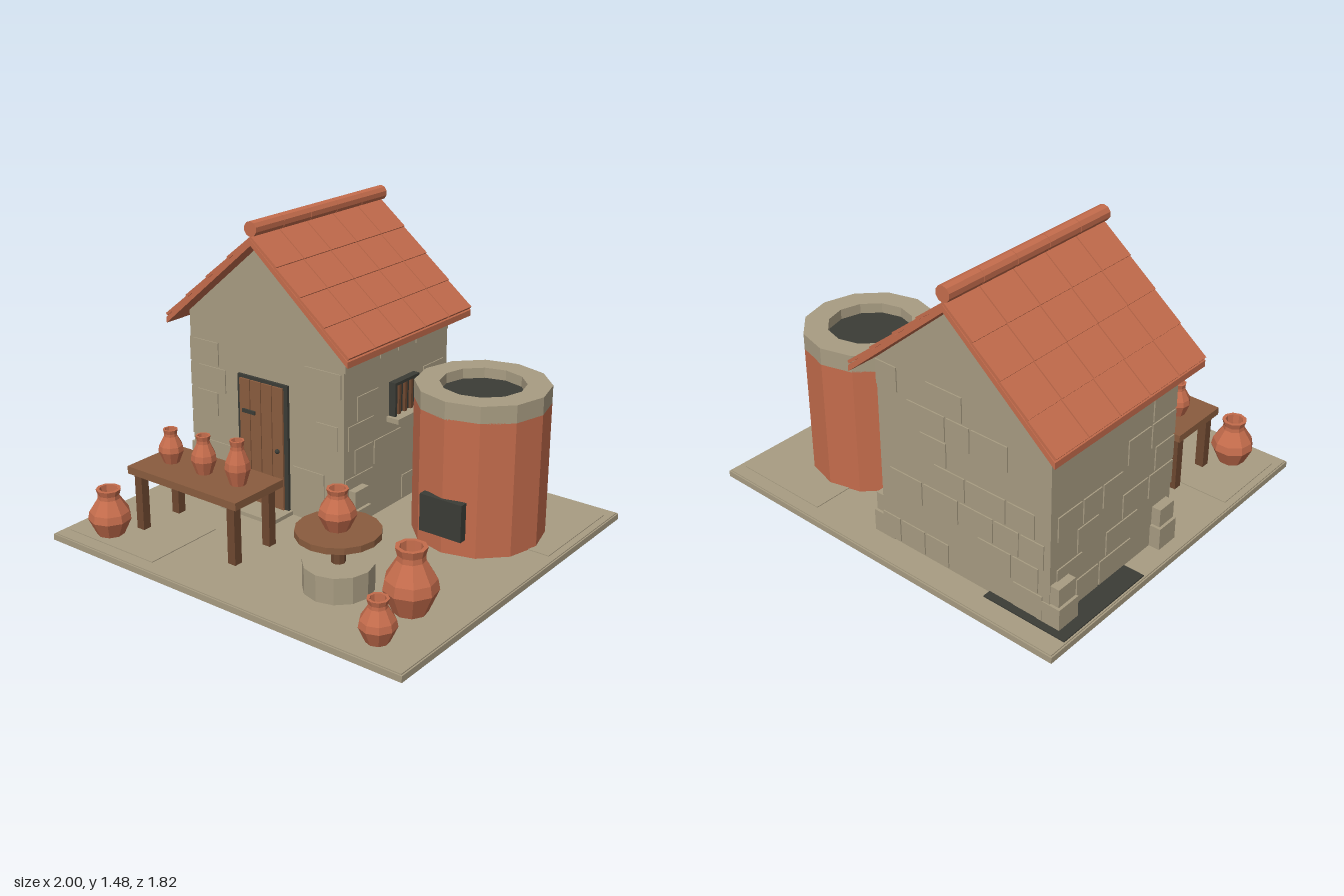
import * as THREE from 'three';

const mat = (name, color) => {
  const m = new THREE.MeshStandardMaterial({ color, flatShading: true });
  m.name = name;
  return m;
};

export function createModel() {
  const stone = mat('stone', 0xa89c82);
  const clay = mat('terracotta', 0xc46c4c);
  const wood = mat('wood', 0x8a5c3e);
  const darkWood = mat('darkWood', 0x6e4830);
  const iron = mat('iron', 0x3b3c36);
  const clayOpen = clay.clone();
  clayOpen.side = THREE.DoubleSide;

  const root = new THREE.Group();
  root.name = 'pottery';
  const group = (name, x = 0, y = 0, z = 0, parent = root) => {
    const g = new THREE.Group();
    g.name = name;
    g.position.set(x, y, z);
    parent.add(g);
    return g;
  };
  const add = (name, geo, m, parent = root, x = 0, y = 0, z = 0) => {
    const mesh = new THREE.Mesh(geo, m);
    mesh.name = name;
    mesh.position.set(x, y, z);
    parent.add(mesh);
    return mesh;
  };
  // Box given by its extents on each axis
  const box = (name, m, x0, x1, y0, y1, z0, z1, parent = root) =>
    add(name, new THREE.BoxGeometry(x1 - x0, y1 - y0, z1 - z0), m, parent,
      (x0 + x1) / 2, (y0 + y1) / 2, (z0 + z1) / 2);
  const cyl = (name, m, r, y0, y1, x, z, sides, parent = root) =>
    add(name, new THREE.CylinderGeometry(r, r, y1 - y0, sides), m, parent, x, (y0 + y1) / 2, z);
  const extrude = (pts, depth) => {
    const g = new THREE.ExtrudeGeometry(new THREE.Shape(pts.map(p => new THREE.Vector2(...p))),
      { depth, bevelEnabled: false });
    return g;
  };

  // Ground slab with a slightly inset lip and a few thin paving stones
  const ground = group('ground');
  box('groundSlab', stone, -1, 1, 0.005, 0.035, -0.91, 0.91, ground);
  box('groundFace', stone, -0.993, 0.993, 0, 0.04, -0.903, 0.903, ground);
  box('paving', stone, -0.96, -0.42, 0.04, 0.044, 0.42, 0.84, ground);
  box('paving', stone, 0.45, 0.96, 0.04, 0.044, -0.84, -0.3, ground);
  box('sootPatch', iron, -0.985, -0.55, 0.04, 0.046, -0.81, -0.26, ground);

  // House body with both gables
  const house = group('house');
  const X0 = -0.875, X1 = 0.075, Z0 = -0.77, Z1 = 0.07, CX = -0.4;
  add('walls', extrude([[X0, 0.04], [X1, 0.04], [X1, 0.955], [CX, 1.36], [X0, 0.955]], Z1 - Z0),
    stone, house, 0, 0, Z0);

  // Shallow raised stones scattered over the four walls
  let seed = 7;
  const rnd = () => (seed = (seed * 16807) % 2147483647) / 2147483647;
  const T = 0.006;
  for (let side = 0; side < 4; side++) {
    const alongX = side < 2;
    const [a, b] = alongX ? [X0, X1] : [Z0, Z1];
    for (let row = 0; row < 7; row++) {
      const y = 0.05 + row * 0.13;
      for (let p = a + 0.01 + rnd() * 0.08; p < b - 0.1;) {
        const w = Math.min(0.12 + rnd() * 0.1, b - p);
        const blocked = (side === 0 && p + w > -0.58 && p < -0.23 && y < 0.71)
          || (side === 2 && p + w > -0.5 && p < -0.26 && y > 0.4 && y < 0.72);
        if (rnd() < 0.5 && !blocked) {
          if (alongX) {
            const z = side === 0 ? Z1 : Z0 - T;
            box('wallStone', stone, p, p + w, y, y + 0.12, z, z + T, house);
          } else {
            const x = side === 2 ? X1 : X0 - T;
            box('wallStone', stone, x, x + T, y, y + 0.12, p, p + w, house);
          }
        }
        p += w + 0.012;
      }
    }
  }

  // Corner stones
  for (const s of [-1, 1]) {
    for (const [za, zb] of [[-0.775, -0.65], [-0.07, 0.05]]) {
      const lower = s * 0.53, upper = s * 0.52;
      const put = (name, edge, y0, y1, trim) => box(name, stone,
        CX + Math.min(edge, s * 0.41), CX + Math.max(edge, s * 0.41), y0, y1, za + trim, zb - trim, house);
      put('cornerStone', lower, 0.04, 0.15, 0);
      put('cornerStone', upper, 0.155, 0.245, 0.008);
    }
  }

  // Roof: two sloping decks, rows of tiles and a ridge roll
  const roof = group('roof', CX, 1.364, -0.3525);
  const run = 0.555, drop = 0.471, depth = 1.005;
  const angle = Math.atan2(drop, run), length = Math.hypot(run, drop);
  for (const turn of [0, Math.PI]) {
    const slope = group('roofSlope', 0, 0, 0, roof);
    slope.rotation.y = turn;
    add('roofDeck', extrude([[0, 0], [run, -drop], [run, -drop + 0.03], [0, 0.03]], depth),
      clay, slope, 0, 0, -depth / 2);
    const tiles = group('tiles', 0, 0.03, 0, slope);
    tiles.rotation.z = -angle;
    const step = (length - 0.012) / 4;
    for (let r = 0; r < 4; r++) {
      for (let c = 0; c < 5; c++) {
        const tile = add('roofTile', new THREE.BoxGeometry(step + 0.01, 0.014, depth / 5 - 0.006), clay,
          tiles, (r + 0.5) * step, 0.007, (c - 2) * depth / 5);
        tile.rotation.z = 0.035;
      }
    }
  }
  for (let c = 0; c < 5; c++) {
    const roll = add('ridgeTile', new THREE.CylinderGeometry(0.037, 0.037, depth / 5 - 0.003, 10), clay,
      roof, 0, 0.077, (c - 2) * depth / 5);
    roll.rotation.x = Math.PI / 2;
  }

  // Door with frame, planks, hinges, knob and doorstep
  const door = group('door');
  box('doorFrame', iron, -0.56, -0.25, 0.05, 0.7, 0.07, 0.085, door);
  for (let i = 0; i < 4; i++) {
    const x = -0.54 + i * 0.068;
    box('doorPlank', wood, x, x + 0.063, 0.06, 0.685, 0.08, 0.095, door);
  }
  for (const y of [0.2, 0.525]) box('hinge', iron, -0.52, -0.44, y - 0.009, y + 0.009, 0.09, 0.104, door);
  add('knob', new THREE.SphereGeometry(0.012, 8, 6), iron, door, -0.3, 0.365, 0.105);
  box('doorStep', stone, -0.57, -0.235, 0.04, 0.06, 0.05, 0.225, door);

  // Side window with bars, lintel and sill
  const win = group('window');
  box('windowPane', iron, 0.07, 0.09, 0.52, 0.69, -0.48, -0.28, win);
  for (const z of [-0.48, -0.296]) box('windowFrame', iron, 0.08, 0.112, 0.52, 0.69, z, z + 0.016, win);
  box('windowHead', iron, 0.08, 0.112, 0.675, 0.69, -0.48, -0.28, win);
  for (const z of [-0.43, -0.38, -0.33]) box('windowBar', darkWood, 0.09, 0.105, 0.52, 0.68, z - 0.008, z + 0.008, win);
  box('windowSill', stone, 0.07, 0.145, 0.495, 0.52, -0.5, -0.26, win);

  // Kiln: clay drum, stone rim with a recessed dark mouth, and a stoking door
  const kiln = group('kiln', 0.55, 0, -0.35);
  cyl('kilnBody', clay, 0.315, 0.04, 0.695, 0, 0, 12, kiln);
  const rimProfile = [[0.2, 0.69], [0.315, 0.69], [0.315, 0.775], [0.2, 0.775], [0.2, 0.69]];
  add('kilnRim', new THREE.LatheGeometry(rimProfile.map(p => new THREE.Vector2(...p)), 12), stone, kiln);
  cyl('kilnMouth', iron, 0.2, 0.69, 0.725, 0, 0, 12, kiln);
  box('kilnDoor', iron, -0.112, 0.112, 0.127, 0.31, 0.29, 0.33, kiln);

  // Display table
  const table = group('table');
  box('tableTop', wood, -0.745, -0.075, 0.325, 0.362, 0.33, 0.655, table);
  for (const x of [-0.7, -0.125]) for (const z of [0.378, 0.613])
    box('tableLeg', darkWood, x - 0.022, x + 0.022, 0.04, 0.325, z - 0.022, z + 0.022, table);

  // Potter's wheel
  const wheel = group('pottersWheel', 0.38, 0, 0.507);
  cyl('wheelBase', stone, 0.16, 0.04, 0.165, 0, 0, 12, wheel);
  cyl('wheelAxle', darkWood, 0.032, 0.165, 0.295, 0, 0, 8, wheel);
  cyl('wheelHead', wood, 0.19, 0.293, 0.323, 0, 0, 16, wheel);

  // Jars: radius and height scale one open profile
  const profile = [[0, 0], [0.62, 0], [1, 0.36], [0.93, 0.52], [0.52, 0.8], [0.5, 0.88],
    [0.58, 1], [0.42, 1], [0.38, 0.82], [0.36, 0.6], [0, 0.6]];
  const jars = [
    [-0.62, 0.362, 0.49, 0.06, 0.165], [-0.412, 0.362, 0.49, 0.06, 0.185], [-0.205, 0.362, 0.49, 0.06, 0.213],
    [0.375, 0.323, 0.507, 0.085, 0.187], [-0.785, 0.04, 0.745, 0.102, 0.23],
    [0.74, 0.04, 0.48, 0.123, 0.3], [0.775, 0.04, 0.76, 0.083, 0.195]];
  for (const [x, y, z, r, h] of jars)
    add('jar', new THREE.LatheGeometry(profile.map(p => new THREE.Vector2(p[0] * r, p[1] * h)), 9),
      clayOpen, root, x, y, z);

  return root;
}
